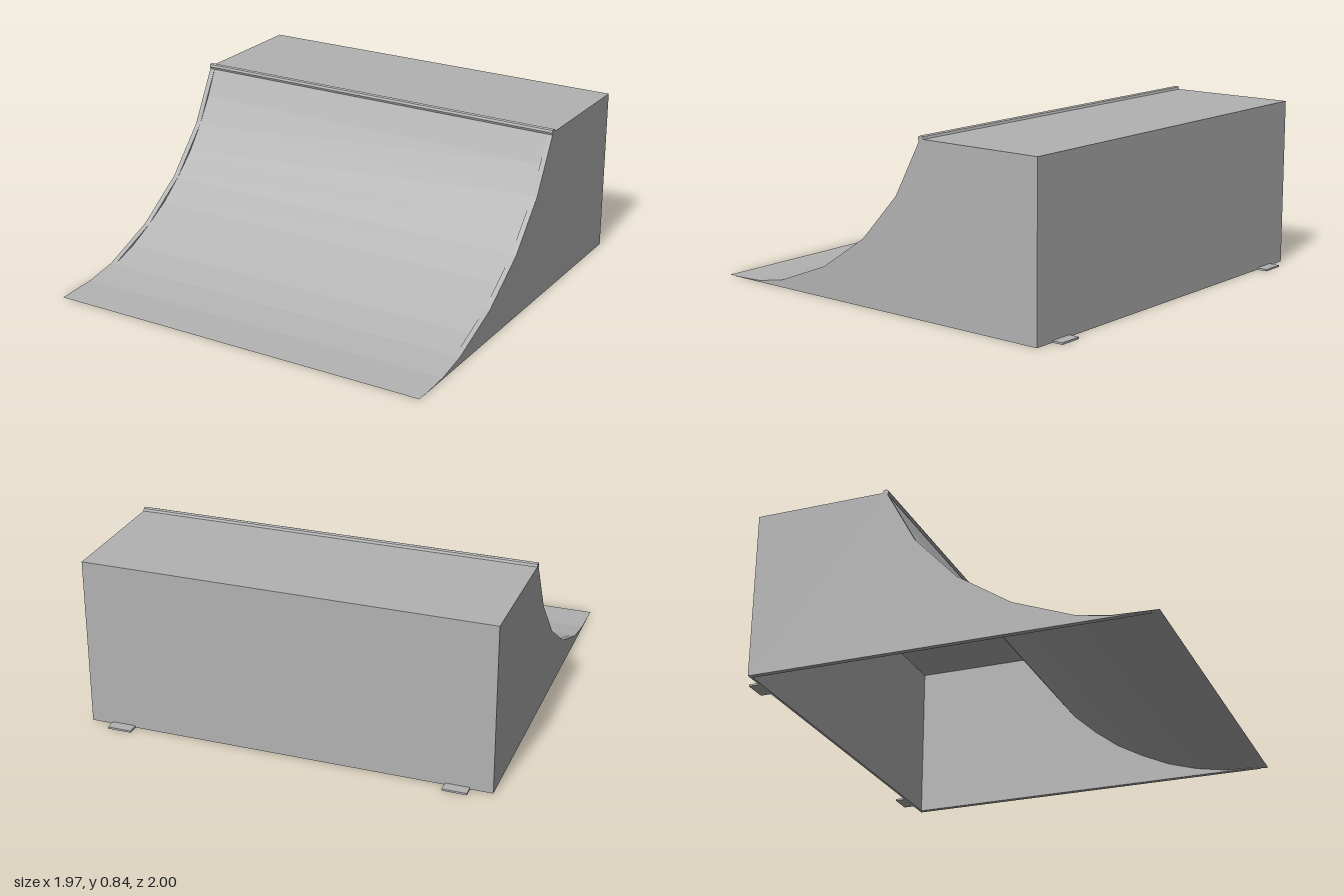
import * as THREE from 'three';

const HALF_WIDTH = 0.987, SIDE = 0.026, DECK_Y = 0.825, BACK_Z = -0.947, LIP_Z = -0.285;

// Ramp curve from lip to toe as [z, y]; the side panels use every second point
const CURVE = [
  [LIP_Z, DECK_Y], [-0.215, 0.68], [-0.135, 0.55], [-0.04, 0.43], [0.075, 0.323], [0.2, 0.226],
  [0.335, 0.15], [0.475, 0.084], [0.625, 0.037], [0.79, 0.009], [1, 0.001],
];

export function createModel() {
  const group = new THREE.Group();
  const grey = new THREE.MeshStandardMaterial({ color: 0xb3b2b2, flatShading: true, side: THREE.DoubleSide });
  grey.name = 'light grey';

  const add = (name, geometry, x = 0, y = 0, z = 0) => {
    const mesh = new THREE.Mesh(geometry, grey);
    mesh.name = name;
    mesh.position.set(x, y, z);
    group.add(mesh);
    return mesh;
  };

  // Curved riding surface: a sheet bent along the curve
  const sheet = new THREE.PlaneGeometry(HALF_WIDTH * 2, 1, 1, CURVE.length - 1);
  const pos = sheet.attributes.position;
  for (let i = 0; i < pos.count; i++) {
    const [z, y] = CURVE[Math.floor(i / 2)];
    pos.setY(i, y);
    pos.setZ(i, z);
  }
  sheet.computeVertexNormals();
  add('rampSurface', sheet);

  // Side panels: straight cuts that stand slightly proud of the riding surface
  const panel = new THREE.Shape();
  panel.moveTo(BACK_Z, 0);
  panel.lineTo(BACK_Z, DECK_Y);
  CURVE.filter((p, i) => i % 2 === 0 && i <= 8).forEach(([z, y]) => panel.lineTo(z, y));
  panel.lineTo(0.785, 0.007);
  panel.lineTo(0.96, 0);
  panel.closePath();
  const panelGeometry = new THREE.ExtrudeGeometry(panel, { depth: SIDE, bevelEnabled: false });
  panelGeometry.rotateY(-Math.PI / 2);
  add('leftSidePanel', panelGeometry, HALF_WIDTH);
  add('rightSidePanel', panelGeometry, -HALF_WIDTH + SIDE);

  // Deck and back wall, fitted between the side panels; the underside is open
  const inner = (HALF_WIDTH - SIDE) * 2, thick = 0.012;
  add('deck', new THREE.BoxGeometry(inner, thick, LIP_Z - BACK_Z), 0, DECK_Y - thick / 2, (LIP_Z + BACK_Z) / 2);
  add('backWall', new THREE.BoxGeometry(inner, DECK_Y - thick, thick), 0, (DECK_Y - thick) / 2, BACK_Z + thick / 2);

  // Round rail along the lip
  const rail = new THREE.CylinderGeometry(0.016, 0.016, HALF_WIDTH * 2, 8);
  rail.rotateZ(Math.PI / 2);
  add('copingRail', rail, 0, DECK_Y, LIP_Z - 0.004);

  // Small floor tabs behind the back wall
  for (const side of [1, -1]) {
    add(side > 0 ? 'leftFloorTab' : 'rightFloorTab',
      new THREE.BoxGeometry(0.117, 0.009, 1 + BACK_Z), side * 0.822, 0.0045, (BACK_Z - 1) / 2);
  }
  return group;
}
